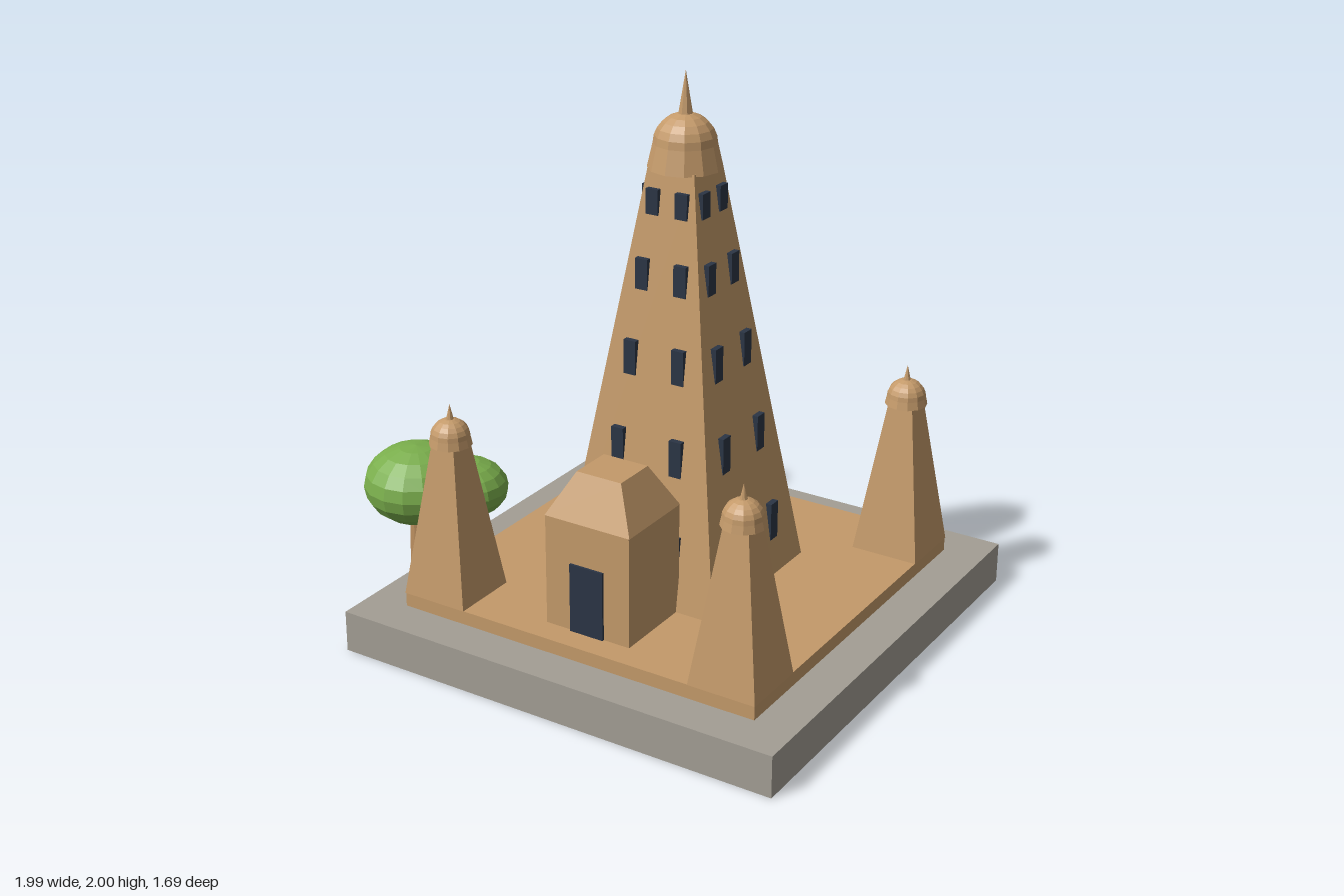
import * as THREE from 'three';

const flat = (name, color) => {
  const m = new THREE.MeshStandardMaterial({ color, flatShading: true });
  m.name = name;
  return m;
};

export function createModel() {
  const sand = flat('sandstone', 0xc49a6a);
  const grey = flat('greyStone', 0xa39e94);
  const dark = flat('darkOpening', 0x2b3545);
  const green = flat('foliage', 0x7aae4c);
  const wood = flat('trunkWood', 0xb98c5e);

  const model = new THREE.Group();
  model.name = 'templeTower';
  const CX = 0.147; // centre of the temple grounds

  const add = (parent, name, geo, mat, x, y, z) => {
    const mesh = new THREE.Mesh(geo, mat);
    mesh.name = name;
    mesh.position.set(x, y, z);
    parent.add(mesh);
    return mesh;
  };
  const box = (parent, name, mat, w, h, d, x, y0, z) =>
    add(parent, name, new THREE.BoxGeometry(w, h, d), mat, x, y0 + h / 2, z);

  // Square frustum given by half-widths at the bottom and top
  const frustum = (parent, name, mat, bottom, top, y0, y1) => {
    const geo = new THREE.CylinderGeometry(top * Math.SQRT2, bottom * Math.SQRT2, y1 - y0, 4);
    geo.rotateY(Math.PI / 4);
    return add(parent, name, geo, mat, 0, (y0 + y1) / 2, 0);
  };

  // Flared skirt with a rounded cap, closed below
  const dome = (parent, name, rim, shoulder, y0, yShoulder, yTop) => {
    const pts = [new THREE.Vector2(0, y0), new THREE.Vector2(rim, y0)];
    for (let i = 0; i <= 6; i++) {
      const a = (i / 6) * Math.PI / 2;
      pts.push(new THREE.Vector2(i === 6 ? 0 : shoulder * Math.cos(a),
        yShoulder + (yTop - yShoulder) * Math.sin(a)));
    }
    return add(parent, name, new THREE.LatheGeometry(pts, 12), sand, 0, 0, 0);
  };
  const spire = (parent, r, y0, y1) =>
    add(parent, 'spire', new THREE.ConeGeometry(r, y1 - y0, 8), sand, 0, (y0 + y1) / 2, 0);

  // Grounds
  box(model, 'basePlinth', grey, 1.69, 0.15, 1.69, CX, 0, 0);
  box(model, 'platform', sand, 1.39, 0.05, 1.39, CX, 0.15, 0);

  // Main tower
  const tower = new THREE.Group();
  tower.name = 'mainTower';
  tower.position.x = CX;
  model.add(tower);
  const halfAt = (y) => 0.31 - (0.22 / 1.48) * (y - 0.2);
  frustum(tower, 'towerBody', sand, 0.31, 0.09, 0.2, 1.68);
  dome(tower, 'towerDome', 0.127, 0.108, 1.672, 1.755, 1.858);
  spire(tower, 0.027, 1.84, 2.0);

  // Upright windows, two per row on each of four faces: [centre y, height, offset]
  const rows = [
    [0.395, 0.138, 0.136], [0.73, 0.13, 0.115], [1.04, 0.122, 0.094],
    [1.327, 0.108, 0.075], [1.572, 0.088, 0.056],
  ];
  for (let face = 0; face < 4; face++) {
    const side = new THREE.Group();
    side.name = 'windowFace';
    side.rotation.y = face * Math.PI / 2;
    tower.add(side);
    for (const [y, h, off] of rows) {
      for (const s of [-1, 1]) {
        box(side, 'window', dark, 0.047, h, 0.03, s * off, y - h / 2, halfAt(y) - 0.003);
      }
    }
  }

  // Corner towers
  for (const sx of [-1, 1]) {
    for (const sz of [-1, 1]) {
      const corner = new THREE.Group();
      corner.name = 'cornerTower';
      corner.position.set(CX + sx * 0.572, 0, sz * 0.572);
      model.add(corner);
      frustum(corner, 'cornerBody', sand, 0.125, 0.044, 0.2, 0.77);
      dome(corner, 'cornerDome', 0.075, 0.069, 0.75, 0.778, 0.842);
      spire(corner, 0.015, 0.832, 0.895);
    }
  }

  // Entrance porch with a flat-topped hipped roof
  const porch = new THREE.Group();
  porch.name = 'porch';
  porch.position.set(CX, 0, 0.446);
  model.add(porch);
  box(porch, 'porchWalls', sand, 0.33, 0.4, 0.31, 0, 0.2, 0);
  const roof = frustum(porch, 'porchRoof', sand, 0.5, 0.26, 0.6, 0.75);
  roof.scale.set(0.335, 1, 0.31);
  box(porch, 'door', dark, 0.13, 0.25, 0.009, 0, 0.2, 0.159);

  // Tree beside the plinth
  const tree = new THREE.Group();
  tree.name = 'tree';
  model.add(tree);
  add(tree, 'trunk', new THREE.CylinderGeometry(0.033, 0.044, 0.34, 8), wood, -0.8, 0.17, 0.295);
  const crown = (name, r, ry, x, y, z) =>
    add(tree, name, new THREE.SphereGeometry(1, 16, 10), green, x, y, z).scale.set(r, ry, r);
  crown('largeCrown', 0.195, 0.147, -0.803, 0.4, 0.297);
  crown('smallCrown', 0.15, 0.107, -0.652, 0.38, 0.197);

  return model;
}
